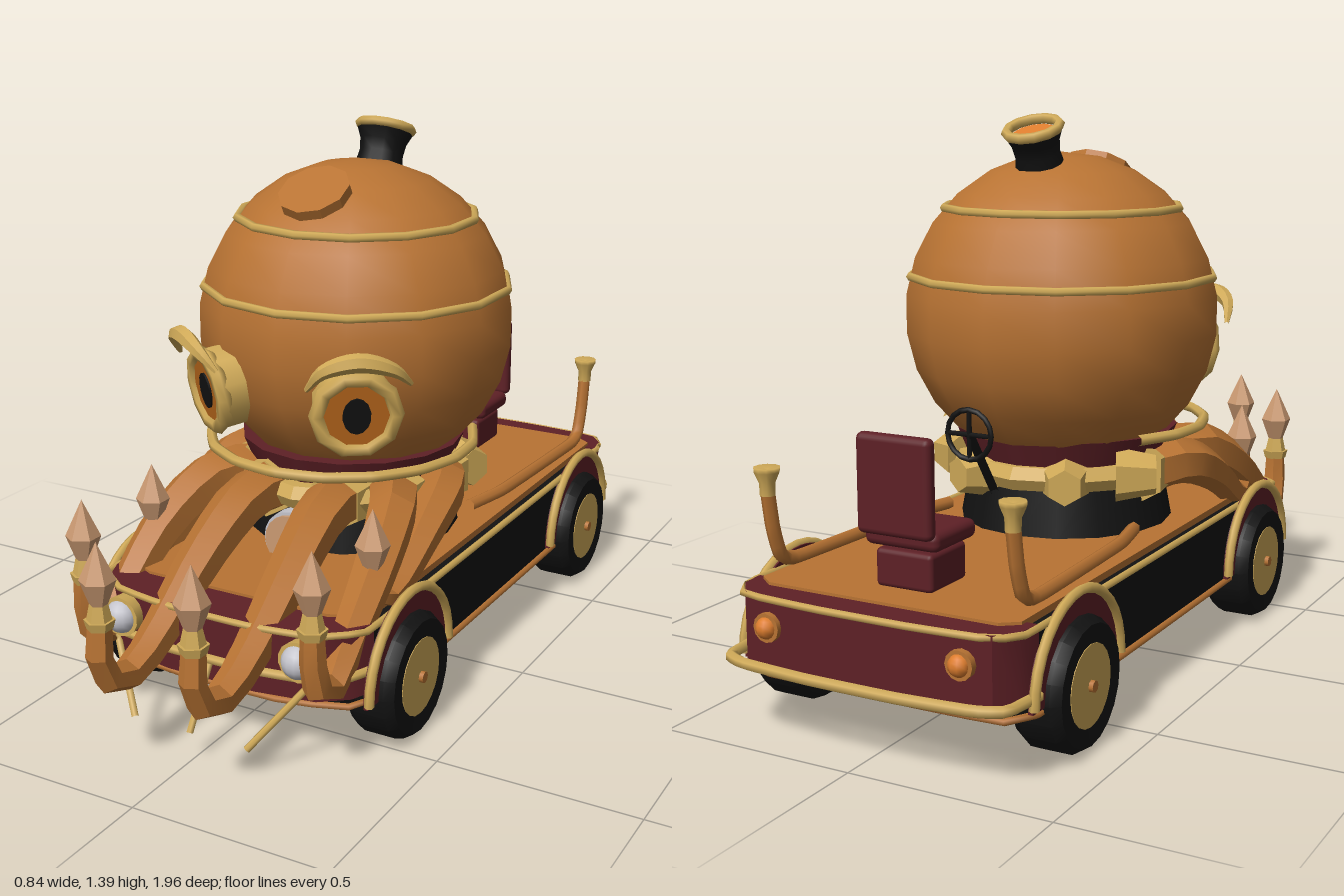
import * as THREE from 'three';
import { toCreasedNormals } from 'three/addons/utils/BufferGeometryUtils.js';
import { RoundedBoxGeometry } from 'three/addons/geometries/RoundedBoxGeometry.js';

const V = (x, y, z) => new THREE.Vector3(x, y, z);
const mat = (name, color) => { const m = new THREE.MeshStandardMaterial({ color }); m.name = name; return m; };

export function createModel() {
  const root = new THREE.Group();
  root.name = 'octopusCar';
  const copper = mat('copper', 0xb87333), brass = mat('brass', 0xd0aa58), black = mat('black', 0x121212);
  const maroon = mat('maroon', 0x5e2026), tan = mat('paleCopper', 0xcb9a72), amber = mat('amber', 0xb8671c);
  const silver = mat('silver', 0xc4c4cc), glow = mat('orange', 0xdd7d2e);

  const add = (name, geo, m, pos = [0, 0, 0], rot = [0, 0, 0], parent = root) => {
    const mesh = new THREE.Mesh(geo, m);
    mesh.name = name;
    mesh.position.set(...pos);
    mesh.rotation.set(...rot);
    parent.add(mesh);
    return mesh;
  };
  const flat = g => toCreasedNormals(g, 0.3);
  const cyl = (rt, rb, h, n = 16) => new THREE.CylinderGeometry(rt, rb, h, n);
  const curve = (pts, closed = false, tension = 0.5) =>
    new THREE.CatmullRomCurve3(pts.map(p => V(...p)), closed, 'catmullrom', tension);
  const pipe = (pts, r, closed = false, tension = 0.2) =>
    new THREE.TubeGeometry(curve(pts, closed, tension), pts.length * 5, r, 6, closed);
  const rod = (name, a, b, r, m) => add(name, pipe([a, b], r), m);

  // Horizontal slab from half of an (x, z) outline, mirrored across x = 0
  const mirror = half => [...half, ...half.map(([x, z]) => [-x, z]).reverse()];
  const slab = (half, y0, y1) => {
    const shape = new THREE.Shape(mirror(half).map(([x, z]) => new THREE.Vector2(x, -z)));
    const g = new THREE.ExtrudeGeometry(shape, { depth: y1 - y0, bevelEnabled: false });
    return toCreasedNormals(g.rotateX(-Math.PI / 2).translate(0, y0, 0), 0.6);
  };

  // Chassis
  const nose = [[0.36, 0.55], [0.335, 0.61], [0.27, 0.66], [0.12, 0.685]];
  const tail = [[0.37, -0.82], [0.36, -0.88], [0.32, -0.93], [0.12, -0.945]];
  add('bodySides', slab([[0.36, 0.55], [0.365, 0], [0.37, -0.82]], 0.15, 0.33), black);
  add('nosePanel', slab(nose, 0.17, 0.34), maroon);
  add('tailPanel', slab([...tail].reverse(), 0.18, 0.34), maroon);
  const floor = [[0.15, 0.64], [0.3, 0.6], [0.35, 0.5], [0.36, -0.8], [0.3, -0.89]];
  add('floor', slab(floor, 0.13, 0.18), black);
  add('floorPipe', pipe(mirror(floor).map(([x, z]) => [x * 1.03, 0.143, z * 1.01]), 0.009, true), copper);
  add('deck', slab([[0.25, 0.57], [0.33, 0.53], [0.34, -0.84], [0.3, -0.87]], 0.32, 0.347), copper);
  const rim = [...[...nose].reverse(), ...tail];
  add('deckTrim', pipe(mirror(rim).map(([x, z]) => [x, 0.333, z]), 0.009, true), brass);
  const bumper = (name, half, y, r) => add(name, pipe(mirror(half).map(([x, z]) => [x, y, z]), r), brass);
  bumper('frontBumper', [[0.36, 0.56], [0.335, 0.62], [0.27, 0.67], [0.12, 0.695]], 0.23, 0.012);
  bumper('rearBumper', [[0.375, -0.83], [0.36, -0.94], [0.3, -0.97], [0.12, -0.985]], 0.187, 0.014);
  [[0, 0], [-0.27, -0.155], [0.27, 0.155]].forEach(([a, b]) =>
    rod('frontStrut', [a, 0.225, 0.68], [b, 0.075, 0.775], 0.009, brass));

  // Wheels and fenders
  const tyre = new THREE.LatheGeometry([[0.09, -0.06], [0.14, -0.063], [0.155, -0.04], [0.155, 0.04],
    [0.14, 0.063], [0.09, 0.06]].map(p => new THREE.Vector2(...p)), 20);
  const fenderShape = new THREE.Shape();
  fenderShape.absarc(0, 0, 0.205, -0.05, Math.PI + 0.05, false);
  const fenderGeo = new THREE.ExtrudeGeometry(fenderShape, { depth: 0.012, bevelEnabled: false, curveSegments: 14 });
  for (const s of [1, -1]) for (const z of [0.41, -0.66]) {
    const w = new THREE.Group();
    w.name = 'wheel';
    w.position.set(s * 0.35, 0.157, z);
    w.rotation.z = -s * Math.PI / 2;
    root.add(w);
    add('tyre', toCreasedNormals(tyre, 0.6), black, [0, 0, 0], [0, 0, 0], w);
    add('rimRing', cyl(0.102, 0.102, 0.116, 24), silver, [0, 0, 0], [0, 0, 0], w);
    add('wheelDisc', cyl(0.096, 0.096, 0.124, 20), brass, [0, 0, 0], [0, 0, 0], w);
    add('hub', cyl(0.014, 0.018, 0.145, 8), copper, [0, 0, 0], [0, 0, 0], w);
    add('fender', fenderGeo, maroon, [s * 0.374 - 0.006, 0.165, z], [0, Math.PI / 2, 0]);
    add('fenderTrim', new THREE.TorusGeometry(0.205, 0.012, 6, 16, Math.PI), brass, [s * 0.383, 0.165, z], [0, Math.PI / 2, 0]);
  }

  // Lamps
  for (const s of [1, -1]) {
    add('headlightRim', cyl(0.05, 0.045, 0.05, 14), brass, [s * 0.245, 0.28, 0.675], [Math.PI / 2, 0, 0]);
    add('headlight', new THREE.SphereGeometry(0.042, 14, 10), silver, [s * 0.245, 0.28, 0.69]);
    add('tailLampRim', cyl(0.034, 0.034, 0.02, 12), copper, [s * 0.25, 0.27, -0.94], [Math.PI / 2, 0, 0]);
    add('tailLamp', new THREE.SphereGeometry(0.026, 10, 8), glow, [s * 0.25, 0.27, -0.945]);
  }
  add('centreLampRim', cyl(0.076, 0.076, 0.04, 20), silver, [0, 0.385, 0.3], [Math.PI / 2, 0, 0]);
  add('centreLamp', cyl(0.068, 0.068, 0.05, 20), tan, [0, 0.385, 0.305], [Math.PI / 2, 0, 0]);

  // Boiler head on its pedestal
  add('pedestal', cyl(0.25, 0.28, 0.16, 16), black, [0, 0.415, 0]);
  add('neck', cyl(0.29, 0.25, 0.1, 16), maroon, [0, 0.54, 0]);
  add('boiler', new THREE.SphereGeometry(0.405, 14, 13), copper, [0, 0.885, -0.02], [0, Math.PI / 2, 0]);
  const band = (name, r, t, y, z, n = 14) => add(name,
    new THREE.TorusGeometry(r, t, 6, n).rotateZ(Math.PI / 2).rotateX(Math.PI / 2), brass, [0, y, z]);
  band('middleBand', 0.391, 0.011, 0.98, -0.02);
  band('upperBand', 0.303, 0.011, 1.152, -0.02);
  const mouth = [];
  for (let i = 0; i <= 12; i++) {
    const a = -0.62 + i / 12 * (Math.PI + 1.24);
    mouth.push([0.34 * Math.cos(a), 0.592, 0.055 + 0.34 * Math.sin(a)]);
  }
  add('lowerBand', pipe(mouth, 0.014), brass);
  add('collar', flat(new THREE.TorusGeometry(0.275, 0.034, 6, 12).rotateX(Math.PI / 2)), brass, [0, 0.495, 0.01]);
  add('hatch', flat(cyl(0.09, 0.09, 0.026, 10)), copper, [0, 1.237, 0.187], [0.52, 0, 0]);

  // Chimney
  const chimney = new THREE.Group();
  chimney.name = 'chimney';
  chimney.position.set(0, 1.25, -0.135);
  chimney.rotation.x = -0.37;
  root.add(chimney);
  add('stack', new THREE.LatheGeometry([[0.068, -0.03], [0.056, 0.04], [0.06, 0.07], [0.073, 0.1]]
    .map(p => new THREE.Vector2(...p)), 12), black, [0, 0, 0], [0, 0, 0], chimney);
  add('stackRim', new THREE.TorusGeometry(0.067, 0.013, 6, 12), brass, [0, 0.108, 0], [Math.PI / 2, 0, 0], chimney);
  add('stackGlow', cyl(0.056, 0.056, 0.006, 12), glow, [0, 0.095, 0], [0, 0, 0], chimney);

  // Eyes and brows
  for (const s of [1, -1]) {
    const eye = new THREE.Group();
    eye.name = 'eye';
    eye.position.set(s * 0.2, 0.76, 0.345);
    eye.rotation.set(0.14, s * 0.6, 0, 'YXZ');
    root.add(eye);
    add('socket', cyl(0.105, 0.105, 0.06, 10), brass, [0, 0, -0.02], [Math.PI / 2, 0, 0], eye);
    add('eyeRing', new THREE.TorusGeometry(0.094, 0.02, 6, 10), brass, [0, 0, 0.012], [0, 0, 0], eye);
    add('iris', cyl(0.08, 0.08, 0.01, 16), amber, [0, 0, 0.014], [Math.PI / 2, 0, 0], eye);
    const pupil = add('pupil', cyl(0.034, 0.034, 0.008, 14), black, [0, 0, 0.02], [Math.PI / 2, 0, 0], eye);
    pupil.scale.z = 1.35;
    add('brow', flat(tentacle([[-0.12, 0.075, 0.03], [-0.08, 0.13, 0.05], [0, 0.152, 0.055], [0.08, 0.13, 0.05],
      [0.125, 0.085, 0.03]], t => 0.006 + 0.017 * Math.sin(Math.PI * t), 14)), brass, [0, 0, 0], [0, 0, 0], eye);
  }

  // Tapered tube along a path
  function tentacle(pts, radius, n = 12) {
    const c = curve(pts), sides = 6;
    const g = new THREE.TubeGeometry(c, n, 1, sides), p = g.attributes.position;
    for (let i = 0; i < p.count; i++) {
      const t = Math.floor(i / (sides + 1)) / n, o = c.getPointAt(t), v = V(0, 0, 0).fromBufferAttribute(p, i);
      v.sub(o).multiplyScalar(radius(t)).add(o);
      p.setXYZ(i, v.x, v.y, v.z);
    }
    return g;
  }

  // Three tentacles a side, each ending in a spear tip
  const arms = [
    [[0.1, 0.49, 0.24], [0.11, 0.49, 0.36], [0.122, 0.4, 0.53], [0.125, 0.28, 0.7], [0.125, 0.22, 0.83], [0.125, 0.265, 0.925], [0.125, 0.38, 0.925]],
    [[0.2, 0.49, 0.16], [0.26, 0.5, 0.27], [0.3, 0.42, 0.43], [0.31, 0.3, 0.58], [0.31, 0.22, 0.66], [0.31, 0.26, 0.73], [0.31, 0.38, 0.74]],
    [[0.23, 0.49, -0.03], [0.3, 0.5, 0.08], [0.32, 0.44, 0.23], [0.32, 0.355, 0.37], [0.315, 0.35, 0.44], [0.31, 0.41, 0.465]]];
  const tip = new THREE.LatheGeometry([[0, 0], [0.018, 0], [0.042, 0.065], [0, 0.155]].map(p => new THREE.Vector2(...p)), 6);
  for (const s of [1, -1]) {
    arms.forEach(pts => {
      const path = pts.map(([x, y, z]) => [s * x, y, z]);
      const [x, , z] = path[path.length - 1];
      add('tentacle', flat(tentacle(path, t => 0.07 - 0.042 * t)), copper);
      add('tipCollar', flat(cyl(0.036, 0.03, 0.022, 6)), brass, [x, 0.385, z]);
      add('tipSocket', flat(cyl(0.018, 0.03, 0.055, 6)), brass, [x, 0.42, z]);
      add('spearTip', flat(tip), tan, [x, 0.425, z]);
      add('tentacleCuff', flat(cyl(0.075, 0.085, 0.07, 6)), brass, path[0], [Math.PI / 2, 0, 0]);
    });
    add('sideStump', flat(cyl(0.05, 0.07, 0.1, 6)), brass, [s * 0.26, 0.5, -0.12], [Math.PI / 2, 0, s * -1.1]);
    add('rearStump', flat(cyl(0.045, 0.07, 0.1, 6)), brass, [s * 0.13, 0.49, -0.25], [-Math.PI / 2, 0, s * -0.45]);

    // Exhaust pipes with trumpet ends
    add('exhaustPipe', pipe([[s * 0.27, 0.37, -0.15], [s * 0.3, 0.37, -0.3], [s * 0.32, 0.37, -0.74],
      [s * 0.32, 0.39, -0.8], [s * 0.32, 0.46, -0.825], [s * 0.32, 0.55, -0.84]], 0.017), copper);
    add('trumpet', new THREE.LatheGeometry([[0.018, 0], [0.019, 0.03], [0.03, 0.055], [0.031, 0.066], [0, 0.06]]
      .map(p => new THREE.Vector2(...p)), 10), brass, [s * 0.32, 0.54, -0.84]);
  }

  // Seat
  add('seatBase', new RoundedBoxGeometry(0.15, 0.09, 0.15, 2, 0.012), maroon, [0, 0.39, -0.7]);
  add('seatCushion', new RoundedBoxGeometry(0.195, 0.045, 0.175, 2, 0.018), maroon, [0, 0.465, -0.7]);
  add('seatBack', new RoundedBoxGeometry(0.195, 0.23, 0.036, 2, 0.016), maroon, [0, 0.59, -0.798]);

  // Steering
  rod('steeringColumn', [0, 0.48, -0.37], [0, 0.645, -0.485], 0.011, black);
  add('steeringWheel', new THREE.TorusGeometry(0.06, 0.007, 6, 16), black, [0, 0.645, -0.487]);
  rod('wheelSpoke', [-0.06, 0.645, -0.487], [0.06, 0.645, -0.487], 0.006, black);
  rod('wheelSpoke', [0, 0.585, -0.487], [0, 0.705, -0.487], 0.006, black);
  return root;
}
